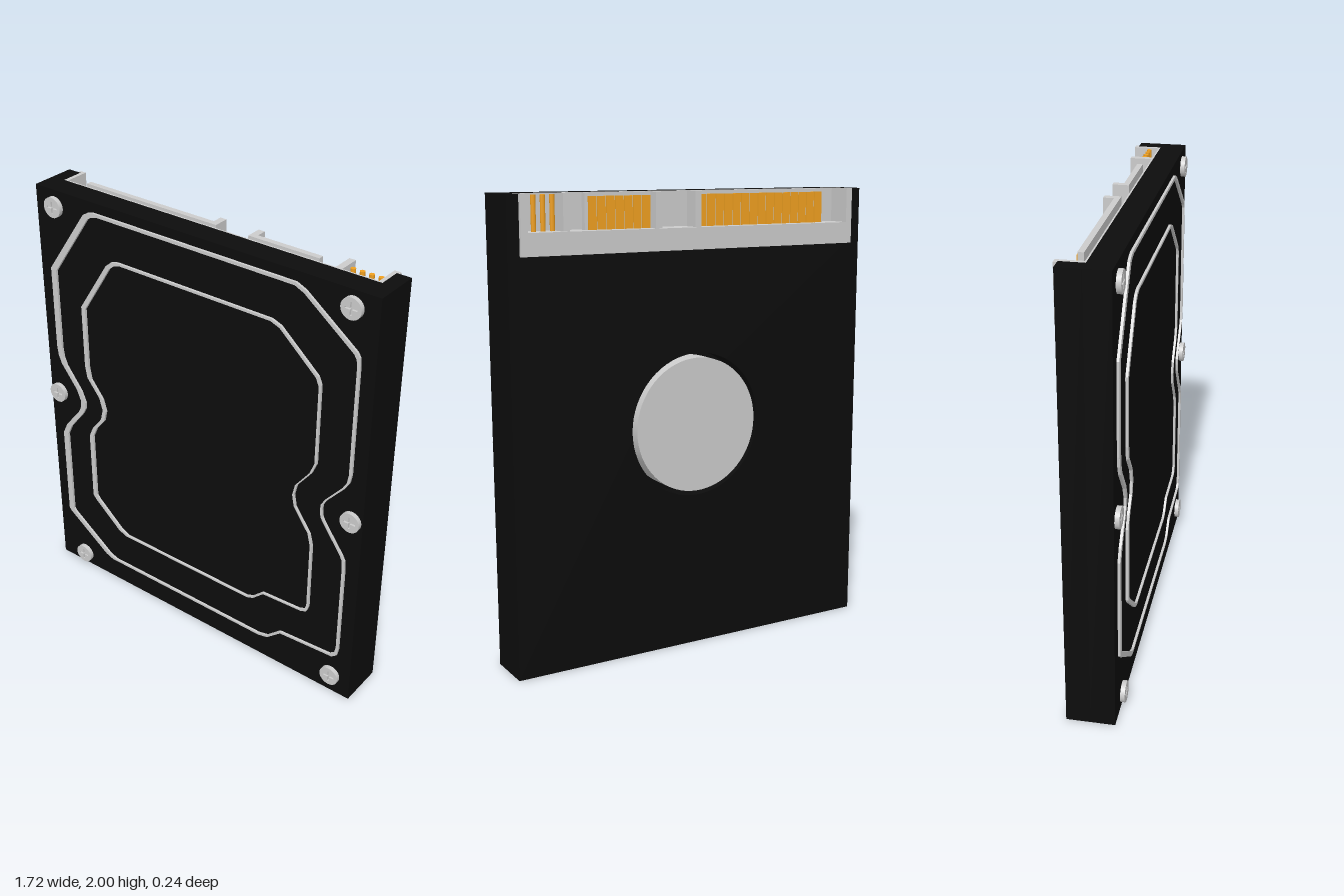
import * as THREE from 'three';

const paint = (color) => new THREE.MeshStandardMaterial({ color });
const black = paint(0x0c0c0c), grey = paint(0xcccccc), gold = paint(0xf0a020);

const BACK = -0.107, FRONT = 0.102, STEP = -0.005;

function add(parent, name, geometry, material, x = 0, y = 0, z = 0) {
  const mesh = new THREE.Mesh(geometry, material);
  mesh.name = name;
  mesh.position.set(x, y, z);
  parent.add(mesh);
  return mesh;
}

// Box given by its lower and upper corners
function box(parent, name, material, [x0, y0, z0], [x1, y1, z1]) {
  return add(parent, name, new THREE.BoxGeometry(x1 - x0, y1 - y0, z1 - z0), material,
    (x0 + x1) / 2, (y0 + y1) / 2, (z0 + z1) / 2);
}

const toShape = (pts) => new THREE.Shape(pts.map(([x, y]) => new THREE.Vector2(x, y)));
const extrude = (shape, depth) =>
  new THREE.ExtrudeGeometry(shape, { depth, bevelEnabled: false, curveSegments: 32 });

// Closed rail whose inner edge is the outline squeezed by a margin on each side
function rail(parent, name, pts, margin) {
  const xs = pts.map((p) => p[0]), ys = pts.map((p) => p[1]);
  const x0 = Math.min(...xs), x1 = Math.max(...xs), y0 = Math.min(...ys), y1 = Math.max(...ys);
  const { left, right, top, bottom } = margin;
  const inner = pts.map(([x, y]) => new THREE.Vector2(
    THREE.MathUtils.mapLinear(x, x0, x1, x0 + left, x1 - right),
    THREE.MathUtils.mapLinear(y, y0, y1, y0 + bottom, y1 - top)));
  const shape = toShape(pts);
  shape.holes.push(new THREE.Path(inner));
  add(parent, name, extrude(shape, 0.011), grey, 0, 0, FRONT);
}

// Screw head with a cross-shaped slot
function screw(parent, x, y) {
  const group = new THREE.Group();
  group.name = 'screw';
  group.position.set(x, y, FRONT);
  const base = add(group, 'screwBase', new THREE.CylinderGeometry(0.046, 0.046, 0.01, 32), grey, 0, 0, 0.005);
  base.rotation.x = Math.PI / 2;
  const head = new THREE.Shape().absarc(0, 0, 0.046, 0, Math.PI * 2);
  const a = 0.004, b = 0.028;
  head.holes.push(new THREE.Path([[b, -a], [b, a], [a, a], [a, b], [-a, b], [-a, a],
    [-b, a], [-b, -a], [-a, -a], [-a, -b], [a, -b], [a, -a]].map(([u, v]) => new THREE.Vector2(u, v))));
  add(group, 'screwHead', extrude(head, 0.01), grey, 0, 0, 0.01);
  parent.add(group);
}

// L-shaped connector tongue with a row of contacts on its back face
function tongue(parent, name, x0, x1, legX, count, floor) {
  const group = new THREE.Group();
  group.name = name;
  box(group, 'tongue', grey, [x0, floor, -0.06], [x1, 2, -0.035]);
  box(group, 'tongueKey', grey, [legX, floor, -0.105], [legX + 0.03, 2, -0.035]);
  const start = legX === x0 ? x0 + 0.035 : x0 + 0.01;
  const end = legX === x0 ? x1 - 0.01 : legX - 0.005;
  const pitch = (end - start) / count;
  for (let i = 0; i < count; i++) {
    const x = start + i * pitch;
    box(group, 'contact', gold, [x, floor, -0.066], [x + pitch * 0.88, 1.985, -0.058]);
  }
  parent.add(group);
}

export function createModel() {
  const model = new THREE.Group();
  model.name = 'hardDrive';

  // Case: full front slab, and a back slab with connector notch and round opening
  box(model, 'caseFront', black, [-0.86, 0, STEP], [0.86, 2, FRONT]);
  const backShape = toShape([[-0.86, 0], [0.86, 0], [0.86, 2], [0.795, 2], [0.795, 1.765],
    [-0.795, 1.765], [-0.795, 2], [-0.86, 2]]);
  backShape.holes.push(new THREE.Path().absarc(0, 1, 0.315, 0, Math.PI * 2, true));
  add(model, 'caseBack', extrude(backShape, STEP - BACK), black, 0, 0, BACK);

  // Motor hub disc on the back
  const hub = add(model, 'motorHub', new THREE.CylinderGeometry(0.295, 0.295, 0.107, 64), grey, 0, 1, -0.0585);
  hub.rotation.x = Math.PI / 2;

  // Raised rails on the cover
  rail(model, 'outerRail', [
    [-0.796, 1.63], [-0.585, 1.935], [-0.56, 1.95], [-0.53, 1.957], [0.495, 1.957], [0.54, 1.937],
    [0.78, 1.755], [0.793, 1.735], [0.797, 1.7], [0.797, 1.2], [0.79, 1.16], [0.77, 1.125],
    [0.69, 1.03], [0.673, 1], [0.67, 0.97], [0.675, 0.935], [0.69, 0.91],
    [0.78, 0.785], [0.793, 0.76], [0.797, 0.72], [0.797, 0.27], [0.79, 0.23], [0.765, 0.21],
    [0.49, 0.19], [0.42, 0.127], [0.37, 0.115], [-0.52, 0.115], [-0.56, 0.13],
    [-0.785, 0.295], [-0.796, 0.31], [-0.796, 0.76], [-0.77, 0.815], [-0.685, 0.92],
    [-0.67, 0.95], [-0.667, 0.985], [-0.69, 1.04], [-0.775, 1.15], [-0.79, 1.19], [-0.796, 1.235],
  ].reverse(), { left: 0.03, right: 0.013, top: 0.014, bottom: 0.01 });
  rail(model, 'innerRail', [
    [-0.627, 1.49], [-0.468, 1.735], [-0.44, 1.758], [-0.405, 1.767], [0.39, 1.767], [0.435, 1.75],
    [0.617, 1.59], [0.632, 1.555], [0.632, 1.185], [0.61, 1.13], [0.542, 1.04],
    [0.53, 0.985], [0.54, 0.93], [0.617, 0.82], [0.632, 0.76], [0.632, 0.425], [0.622, 0.395],
    [0.595, 0.382], [0.39, 0.37], [0.335, 0.318], [0.3, 0.305], [-0.426, 0.305], [-0.468, 0.323],
    [-0.61, 0.446], [-0.625, 0.467], [-0.625, 0.81], [-0.6, 0.865], [-0.547, 0.93],
    [-0.533, 0.985], [-0.55, 1.045], [-0.617, 1.13], [-0.627, 1.19],
  ].reverse(), { left: 0.022, right: 0.011, top: 0.011, bottom: 0.008 });

  // Cover screws
  for (const [x, y] of [[-0.755, 1.925], [0.745, 1.93], [-0.807, 0.98], [0.807, 0.975],
    [-0.71, 0.06], [0.762, 0.095]]) screw(model, x, y);

  // Connector housing set into the notch
  const connector = new THREE.Group();
  connector.name = 'connector';
  const floor = 1.85;
  box(connector, 'housingFloor', grey, [-0.795, 1.765, -0.11], [0.795, floor, STEP]);
  box(connector, 'housingLip', grey, [-0.807, 1.757, -0.122], [0.807, floor, BACK]);
  box(connector, 'housingInnerWall', grey, [-0.795, floor, -0.012], [0.795, 2, STEP]);
  for (const s of [-1, 1]) {
    add(connector, 'housingSideWall', new THREE.BoxGeometry(0.018, 2 - floor, 0.115), grey,
      s * 0.786, (2 + floor) / 2, -0.0635);
    add(connector, 'housingFlange', new THREE.BoxGeometry(0.03, 2 - floor, 0.015), grey,
      s * 0.792, (2 + floor) / 2, -0.1145);
  }
  box(connector, 'housingDivider', grey, [0.588, floor, -0.107], [0.617, 2, STEP]);
  tongue(connector, 'powerConnector', -0.69, 0.005, -0.025, 15, floor);
  tongue(connector, 'dataConnector', 0.165, 0.5, 0.165, 7, floor);
  for (let i = 0; i < 4; i++) {
    add(connector, 'jumperPin', new THREE.CylinderGeometry(0.011, 0.011, 0.15, 8), gold,
      0.64 + i * 0.041, floor + 0.07, -0.053);
  }
  model.add(connector);
  return model;
}
